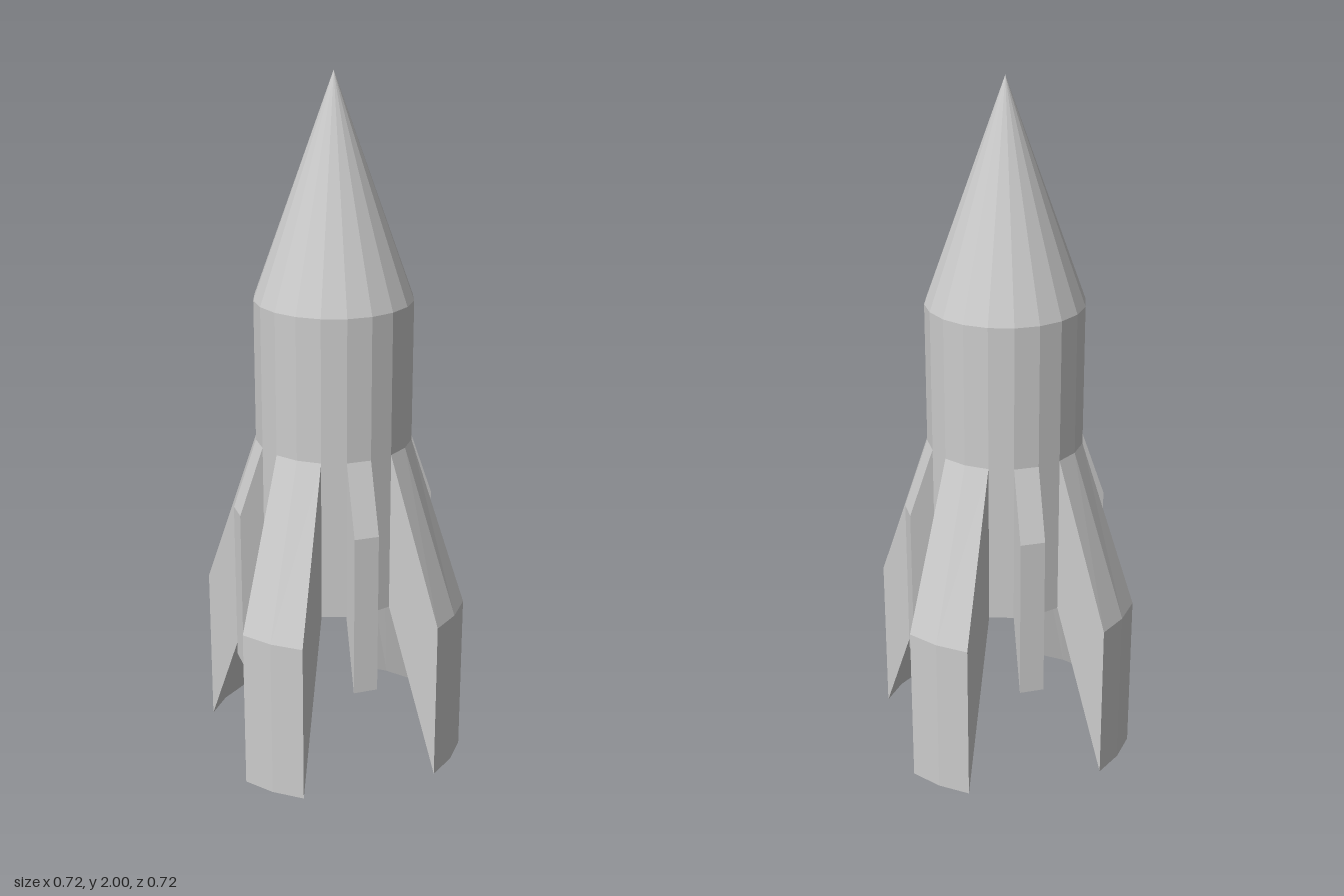
import * as THREE from 'three';

const SIDES = 20, RADIUS = 0.225, STEP = 360 / SIDES;
const TOP = 0.97, BASE = 0.5;

// Point at a compass angle (0 = back, clockwise seen from above)
function polar(deg, r, y) {
  const a = THREE.MathUtils.degToRad(deg);
  return [Math.sin(a) * r, y, -Math.cos(a) * r];
}

// Fin that grows out of `span` hull facets, swept from profile columns
function finGeometry(span, tipRadius, tipHalfAngle, tipTop, tipBottom) {
  const columns = [];
  for (let j = 0; j <= span; j++) {
    const t = j / span - 0.5;
    const inner = t * span * STEP, outer = t * 2 * tipHalfAngle;
    columns.push([
      polar(inner, RADIUS, TOP), polar(outer, tipRadius, tipTop),
      polar(outer, tipRadius, tipBottom), polar(inner, RADIUS, BASE),
    ]);
  }
  const pos = [];
  const quad = (a, b, c, d) => pos.push(...a, ...b, ...c, ...a, ...c, ...d);
  // upper slope, outer edge and lower slope
  for (let j = 0; j < span; j++) {
    const p = columns[j], q = columns[j + 1];
    for (let k = 0; k < 3; k++) quad(q[k + 1], p[k + 1], p[k], q[k]);
  }
  // the two flanks
  quad(...columns[0]);
  quad(...[...columns[span]].reverse());
  const geo = new THREE.BufferGeometry();
  geo.setAttribute('position', new THREE.Float32BufferAttribute(pos, 3));
  geo.computeVertexNormals();
  return geo;
}

export function createModel() {
  const group = new THREE.Group();
  const material = new THREE.MeshStandardMaterial({ color: 0xcccccc, flatShading: true });
  const add = (name, geo, y = 0, turn = 0) => {
    const mesh = new THREE.Mesh(geo, material);
    mesh.name = name;
    mesh.position.y = y;
    mesh.rotation.y = -THREE.MathUtils.degToRad(turn);
    group.add(mesh);
  };

  // Hull with closed base, and pointed nose
  const shoulder = 1.38;
  const hull = new THREE.CylinderGeometry(RADIUS, RADIUS, shoulder - BASE, SIDES);
  add('hull', hull, (shoulder + BASE) / 2);
  const nose = new THREE.ConeGeometry(RADIUS, 2 - shoulder, SIDES, 1, true);
  add('noseCone', nose, (2 + shoulder) / 2);

  // Four landing fins alternating with four narrow stabilisers
  const landingFin = finGeometry(2, 0.39, 14.1, 0.48, 0);
  const stabiliser = finGeometry(1, 0.294, 6.9, 0.77, 0.29);
  for (let i = 0; i < 4; i++) {
    add('landingFin', landingFin, 0, 54 + i * 90);
    add('stabiliserFin', stabiliser, 0, 9 + i * 90);
  }
  return group;
}
